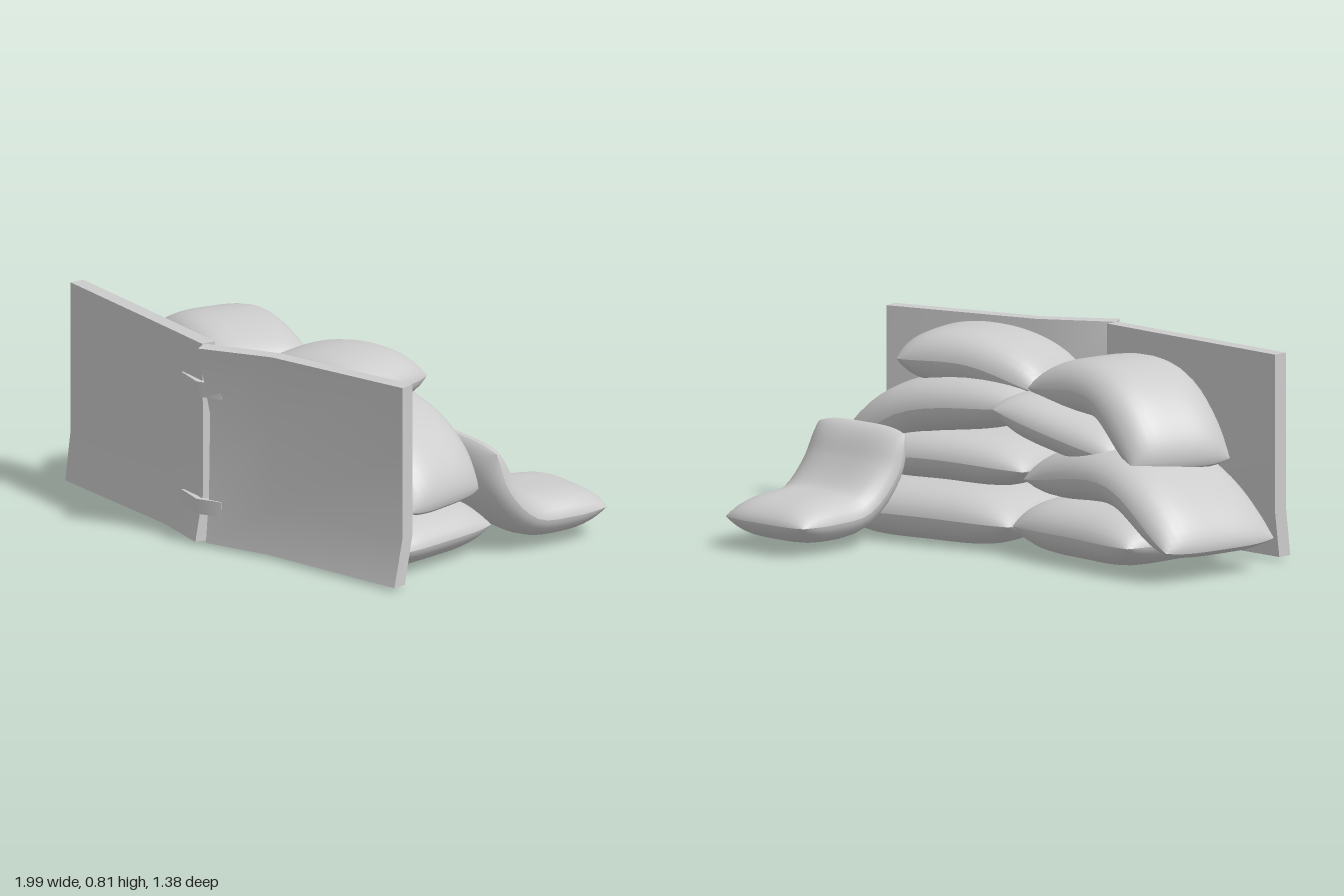
import * as THREE from 'three';
import { mergeGeometries } from 'three/addons/utils/BufferGeometryUtils.js';

const grey = new THREE.MeshStandardMaterial({ color: 0xcccccc });
const vec = (x, y, z) => new THREE.Vector3(x, y, z);

function addMesh(group, name, geometry) {
  const mesh = new THREE.Mesh(geometry, grey);
  mesh.name = name;
  group.add(mesh);
}

// Stuffed sack: two puffed sheets meeting at a seam, bent along a spine.
// w0 and w1 are the half-width vectors at the two ends.
function bag(spine, w0, w1, thickness) {
  const curve = new THREE.CatmullRomCurve3(spine);
  const sheets = [1, -1].map((side) => {
    const sheet = new THREE.PlaneGeometry(2, 2, 24, 18);
    const pos = sheet.attributes.position;
    for (let i = 0; i < pos.count; i++) {
      // crowd the rows towards the seam so that it rounds off smoothly
      const u = Math.sin(pos.getX(i) * Math.PI / 2);
      const v = side * Math.sin(pos.getY(i) * Math.PI / 2);
      const t = (u + 1) / 2;
      const wide = w0.clone().lerp(w1, t);
      const tangent = curve.getTangent(t);
      const normal = tangent.clone().cross(wide).normalize();
      const puff = thickness * Math.pow((1 - u ** 4) * (1 - v ** 4), 0.6);
      const p = curve.getPoint(t)
        .addScaledVector(wide, v * (1 + 0.09 * (1 - u ** 4)))
        .addScaledVector(tangent, 0.025 * u * Math.abs(u) * (1 - v ** 4))
        .addScaledVector(normal, side * puff);
      pos.setXYZ(i, p.x, Math.max(p.y, 0), p.z);
    }
    sheet.computeVertexNormals();
    return sheet;
  });
  return mergeGeometries(sheets);
}

// Bag lying across the wall: half is its half width from front to back,
// lean0 and lean1 shift the back edge sideways at either end.
function wallBag(start, middle, end, half, lean0, lean1, thickness = 0.112) {
  return bag([start, middle, end], vec(lean0, 0, -half), vec(lean1, 0, -half), thickness);
}

// Bent sheet: columns xs, rows ys (low to high), z of the middle per row.
function plate(xs, ys, zs, depth, flareX = 0) {
  const nx = xs.length - 1, ny = ys.length - 1;
  const box = new THREE.BoxGeometry(1, 1, depth, nx, ny, 1);
  const pos = box.attributes.position;
  for (let i = 0; i < pos.count; i++) {
    const c = Math.round((pos.getX(i) + 0.5) * nx);
    const r = Math.round((pos.getY(i) + 0.5) * ny);
    const a = Math.max(c - 1, 0), b = Math.min(c + 1, nx);
    const slope = (zs[r][b] - zs[r][a]) / (xs[b] - xs[a]);
    const flare = r === 0 && c === nx ? flareX : 0;
    // keep the ends square to the bent sheet
    pos.setXYZ(i, xs[c] + flare - slope * pos.getZ(i), ys[r], zs[r][c] + pos.getZ(i));
  }
  box.computeVertexNormals();
  return box;
}

export function createModel() {
  const model = new THREE.Group();
  model.name = 'sandbagBarricade';

  // Right column of sandbags, bottom to top; the upper ones droop outwards
  addMesh(model, 'bottomBagRight', wallBag(
    vec(-0.67, 0.1, 0.18), vec(-0.32, 0.108, 0.215), vec(0.05, 0.105, 0.25), 0.285, 0.03, -0.04));
  addMesh(model, 'secondBagRight', wallBag(
    vec(-0.95, 0.125, 0.085), vec(-0.55, 0.34, 0.15), vec(0.035, 0.29, 0.255), 0.27, 0.04, -0.065));
  addMesh(model, 'thirdBagRight', wallBag(
    vec(-0.5, 0.42, 0.2), vec(-0.2, 0.49, 0.16), vec(0.1, 0.56, 0.14), 0.22, 0.02, -0.03, 0.09));
  addMesh(model, 'topBagRight', wallBag(
    vec(-0.695, 0.41, 0.15), vec(-0.42, 0.645, 0.21), vec(-0.005, 0.63, 0.285), 0.21, 0.065, 0.035));

  // Left column of sandbags, bottom to top
  addMesh(model, 'bottomBagLeft', wallBag(
    vec(0.08, 0.1, 0.22), vec(0.46, 0.11, 0.145), vec(0.85, 0.105, 0.08), 0.27, -0.06, -0.04, 0.115));
  addMesh(model, 'secondBagLeft', wallBag(
    vec(0.06, 0.31, 0.24), vec(0.42, 0.33, 0.16), vec(0.78, 0.32, 0.09), 0.23, -0.06, -0.04, 0.1));
  addMesh(model, 'thirdBagLeft', wallBag(
    vec(0.04, 0.56, 0.2), vec(0.6, 0.49, 0.125), vec(0.89, 0.28, 0.1), 0.21, -0.04, -0.05, 0.108));
  addMesh(model, 'topBagLeft', wallBag(
    vec(0.075, 0.605, 0.32), vec(0.36, 0.69, 0.25), vec(0.66, 0.69, 0.17), 0.2, -0.045, -0.05));

  // Bag slumped against the back of the wall
  const slump = [
    vec(0.69, 0.425, -0.14), vec(0.7, 0.275, -0.185), vec(0.715, 0.14, -0.32),
    vec(0.725, 0.118, -0.5), vec(0.73, 0.118, -0.665),
  ];
  addMesh(model, 'fallenBag', bag(slump, vec(-0.23, 0, -0.01), vec(-0.21, 0, -0.012), 0.09));

  // Bent armour sheets
  const rows = [0.013, 0.2, 0.53, 0.81];
  addMesh(model, 'sheetRight', plate([-0.875, -0.2, 0.06], rows, [
    [0.55, 0.59, 0.64], [0.525, 0.58, 0.605], [0.525, 0.58, 0.605], [0.525, 0.585, 0.61],
  ], 0.06));
  addMesh(model, 'sheetLeft', plate([0.078, 0.35, 0.975], rows, [
    [0.615, 0.52, 0.4], [0.6, 0.5, 0.35], [0.595, 0.49, 0.35], [0.66, 0.505, 0.35],
  ], 0.06, 0.015));

  // Straps that tie the sheets together
  const strapZ = [0.62, 0.65, 0.605];
  [['upperStrap', 0.6], ['lowerStrap', 0.125]].forEach(([name, y]) =>
    addMesh(model, name, plate([-0.08, 0.05, 0.14], [y, y + 0.06], [strapZ, strapZ], 0.022)));

  return model;
}
